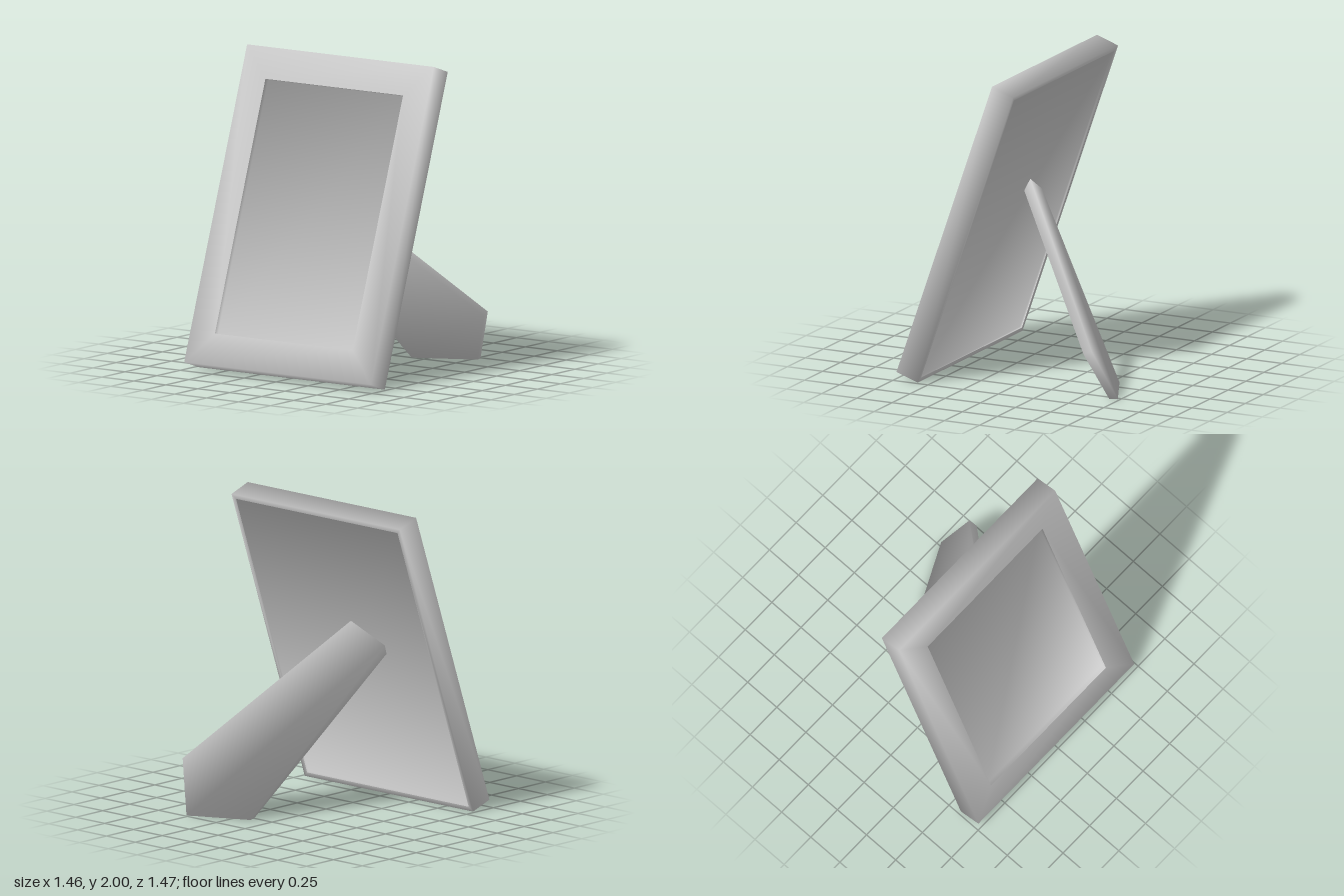
import * as THREE from 'three';

// Rectangle loop, counter-clockwise seen from +z, inset from the frame outline
const WIDTH = 1.46, HEIGHT = 2.063, DEPTH = 0.159;
function rect(insetX, insetY, z) {
  const x = WIDTH / 2 - insetX, y0 = insetY, y1 = HEIGHT - insetY;
  return [[-x, y0, z], [x, y0, z], [x, y1, z], [-x, y1, z]];
}

// Skins a list of equal loops running from back to front, with optional end caps.
// Normals are the even average of the faces that meet at each corner.
function skin(loops, capBack, capFront) {
  const n = loops[0].length, index = [];
  const normals = loops.flat().map(() => new THREE.Vector3());
  const points = loops.flat().map((p) => new THREE.Vector3(...p));
  const addFace = (ids) => {
    const [a, b, c] = ids.map((i) => points[i]);
    const normal = b.clone().sub(a).cross(c.clone().sub(a)).normalize();
    ids.forEach((i) => normals[i].add(normal));
    for (let k = 1; k < ids.length - 1; k++) index.push(ids[0], ids[k], ids[k + 1]);
  };
  for (let r = 0; r < loops.length - 1; r++) {
    for (let i = 0; i < n; i++) {
      const j = (i + 1) % n;
      addFace([r * n + i, r * n + j, (r + 1) * n + j, (r + 1) * n + i]);
    }
  }
  const ring = [...Array(n).keys()];
  if (capBack) addFace([...ring].reverse());
  if (capFront) addFace(ring.map((i) => i + (loops.length - 1) * n));
  const geometry = new THREE.BufferGeometry().setFromPoints(points);
  geometry.setAttribute('normal', new THREE.Float32BufferAttribute(
    normals.flatMap((v) => v.normalize().toArray()), 3));
  geometry.setIndex(index);
  return geometry;
}

export function createModel() {
  const model = new THREE.Group();
  model.name = 'pictureFrame';
  const grey = new THREE.MeshStandardMaterial({ color: 0xc8c8c8, side: THREE.DoubleSide });
  grey.name = 'grey';
  const add = (parent, name, geometry) => {
    const mesh = new THREE.Mesh(geometry, grey);
    mesh.name = name;
    parent.add(mesh);
  };

  // Leaning frame, resting on its lower back edge
  const frame = new THREE.Group();
  frame.name = 'leaningFrame';
  frame.rotation.x = -0.3355;
  frame.position.z = 0.584;
  model.add(frame);

  const back = rect(0.03, 0.03, 0);
  const opening = rect(0.192, 0.205, DEPTH);
  add(frame, 'surround', skin([back, rect(0, 0, 0), rect(0, 0, DEPTH), opening], false, false));
  // Sunk picture and back board
  add(frame, 'picturePanel', skin([opening, rect(0.192, 0.205, DEPTH - 0.032)], false, true));
  add(frame, 'backBoard', skin([rect(0.03, 0.03, 0.014), back], true, false));

  // Tapered easel leg, set diagonally, cut flat at the ground and let into the back board
  const legBack = [[0.14, 0, -0.55], [0.523, 0, -0.734], [0.663, 0.33, -0.62],
    [-0.06, 1.216, 0.194], [-0.308, 1.09, 0.238]];
  const legFront = [[0.155, 0, -0.5], [0.538, 0, -0.68], [0.673, 0.31, -0.566],
    [-0.02, 1.144, 0.216], [-0.303, 1.03, 0.257]];
  add(model, 'easelLeg', skin([legBack, legFront], true, true));

  return model;
}
